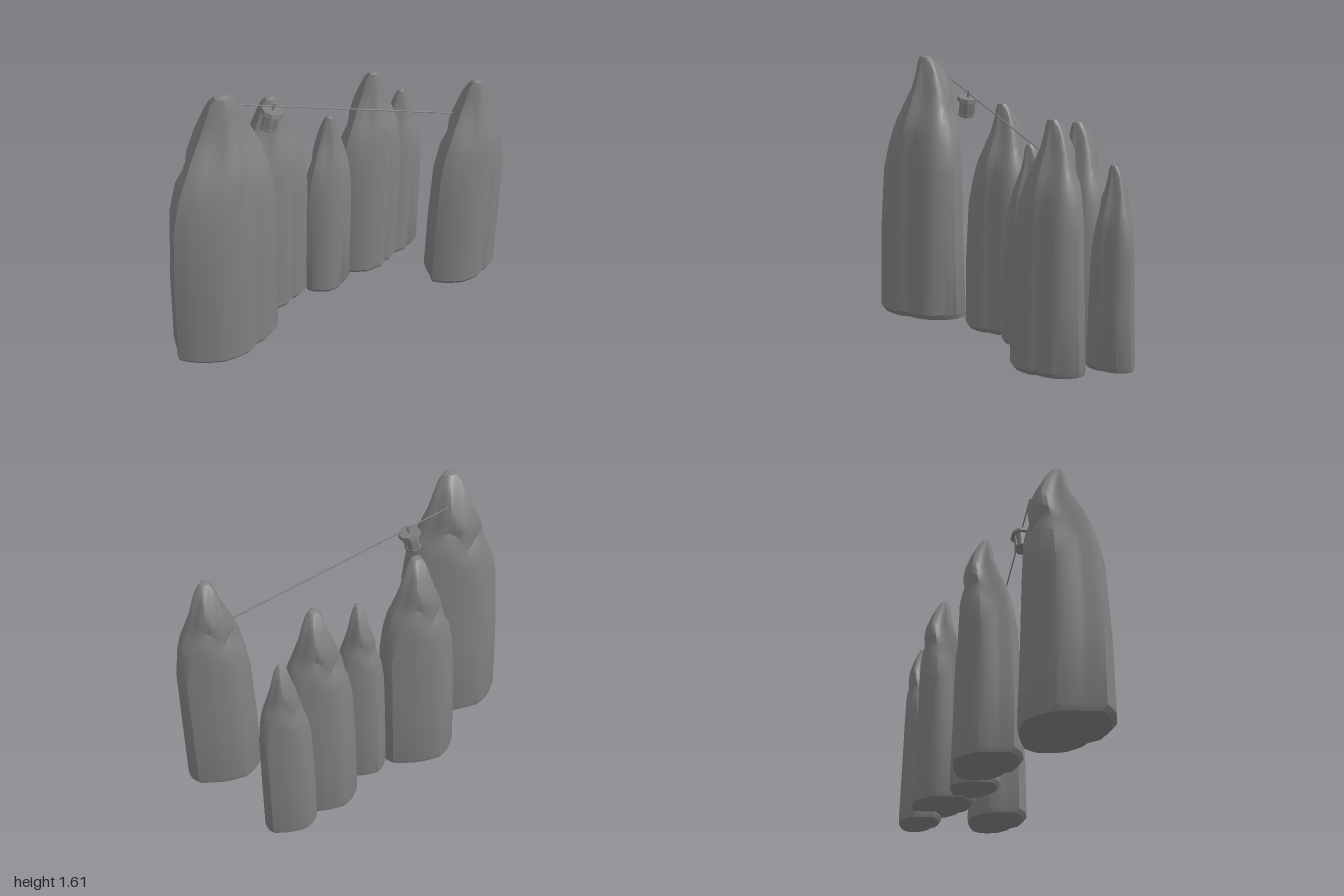
import * as THREE from 'three';
import { toCreasedNormals } from 'three/addons/utils/BufferGeometryUtils.js';

const stone = new THREE.MeshStandardMaterial({ name: 'grey stone', color: 0x808080 });

// Lobed plan outline of a rock pillar, in -1..1
const OUTLINE = [
  [-0.87, -0.45], [-0.62, -0.78], [-0.3, -1], [0.2, -0.95], [0.55, -0.8], [0.86, -0.62],
  [1, -0.3], [0.97, 0.02], [0.87, 0.34], [0.58, 0.62], [0.4, 0.68], [0.22, 0.9], [-0.25, 1],
  [-0.7, 0.82], [-1, 0.54], [-0.95, 0.2], [-0.93, -0.1],
];
// Cross-sections from foot to tip: height, left, right, back, front
const LEVELS = [
  [0, -0.96, 0.91, -0.97, 0.88], [0.02, -1, 0.96, -1, 0.99], [0.3, -0.98, 0.98, -0.92, 0.97],
  [0.56, -0.9, 1, -0.85, 0.89], [0.66, -0.77, 0.94, -0.81, 0.79], [0.7, -0.69, 0.89, -0.8, 0.74],
  [0.74, -0.6, 0.83, -0.78, 0.67], [0.78, -0.5, 0.74, -0.75, 0.56], [0.82, -0.4, 0.65, -0.71, 0.46],
  [0.86, -0.29, 0.56, -0.65, 0.35], [0.92, -0.17, 0.45, -0.47, 0.24], [0.97, -0.1, 0.35, -0.28, 0.17],
  [0.995, 0, 0.24, -0.15, 0.13],
];

function pillarGeometry() {
  const { lerp, smoothstep } = THREE.MathUtils;
  const n = 34;
  const curve = new THREE.CatmullRomCurve3(
    OUTLINE.map(([u, v]) => new THREE.Vector3(u, 0, v)), true, 'catmullrom', 0.25);
  const plan = curve.getPoints(n).slice(0, n);
  const pos = [], idx = [];
  for (const [t, left, right, back, front] of LEVELS) {
    // the shoulders are uneven, the foot and tip are level
    const crag = 0.02 * smoothstep(t, 0.5, 0.75) * (1 - smoothstep(t, 0.9, 1));
    const round = 0.45 * smoothstep(t, 0.6, 0.95);
    for (const p of plan) {
      const a = Math.atan2(p.z, p.x);
      // a slanting groove runs across the back of the shoulder
      const groove = Math.exp(-(((t - 0.765 - 0.05 * p.x) / 0.035) ** 2)) * smoothstep(-p.z, 0, 0.7);
      const s = 1 - 0.16 * groove;
      const u = lerp(p.x, Math.cos(a), round) * s, v = lerp(p.z, Math.sin(a), round) * s;
      pos.push(lerp(left, right, (u + 1) / 2), t + crag * Math.sin(5 * a + 1), lerp(back, front, (v + 1) / 2));
    }
  }
  const rings = LEVELS.length;
  for (let i = 0; i < rings - 1; i++) {
    for (let j = 0; j < n; j++) {
      const a = i * n + j, b = i * n + (j + 1) % n;
      idx.push(a, a + n, b, b, a + n, b + n);
    }
  }
  // foot and tip caps
  const foot = rings * n, tip = foot + 1, last = (rings - 1) * n;
  pos.push(0, 0, 0, 0.12, 1.002, 0.03);
  for (let j = 0; j < n; j++) {
    const k = (j + 1) % n;
    idx.push(foot, j, k, tip, last + k, last + j);
  }
  const g = new THREE.BufferGeometry();
  g.setAttribute('position', new THREE.Float32BufferAttribute(pos, 3));
  g.setIndex(idx);
  return g;
}

function mesh(name, geometry, parent) {
  const m = new THREE.Mesh(geometry, stone);
  m.name = name;
  parent.add(m);
  return m;
}

function createLantern() {
  const lantern = new THREE.Group();
  lantern.name = 'lantern';
  const drum = (name, rTop, rBottom, h, y) => {
    const g = new THREE.CylinderGeometry(rTop, rBottom, h, 8).toNonIndexed();
    g.computeVertexNormals();
    const m = mesh(name, g, lantern);
    m.position.y = y;
    m.rotation.y = Math.PI / 8;
  };
  drum('lanternBody', 0.044, 0.04, 0.085, 0);
  drum('lanternBase', 0.045, 0.045, 0.012, -0.044);
  drum('lanternCap', 0.058, 0.063, 0.022, 0.05);
  drum('lanternHook', 0.007, 0.007, 0.03, 0.074);
  // corner posts
  for (let i = 0; i < 8; i++) {
    const a = (i + 0.5) * Math.PI / 4;
    const post = mesh('lanternPost', new THREE.BoxGeometry(0.006, 0.085, 0.006), lantern);
    post.position.set(Math.cos(a) * 0.041, 0, Math.sin(a) * 0.041);
    post.rotation.y = -a;
  }
  const ring = mesh('lanternRing', new THREE.TorusGeometry(0.008, 0.004, 6, 12), lantern);
  ring.position.y = 0.09;
  lantern.position.set(-0.355, 1.325, 0.073);
  lantern.rotation.z = -0.26;
  return lantern;
}

export function createModel() {
  const model = new THREE.Group();
  model.name = 'rockPillarsWithLantern';

  // Pillars: centre x, centre z, foot y, half width, half depth, height
  const base = pillarGeometry();
  const pillars = [
    [-0.685, 0.205, 0.1, 0.315, 0.237, 1.51],
    [-0.315, -0.113, 0.04, 0.235, 0.178, 1.31],
    [0.033, -0.115, 0.035, 0.15, 0.133, 1.115],
    [0.335, -0.24, 0.03, 0.212, 0.17, 1.26],
    [0.565, -0.333, 0, 0.158, 0.118, 1.08],
    [0.772, 0.14, 0.1, 0.225, 0.17, 1.25],
  ];
  for (const [x, z, y, w, d, h] of pillars) {
    const g = base.clone().scale(w, h, d);
    mesh('rockPillar', toCreasedNormals(g, 0.5), model).position.set(x, y, z);
  }

  // Rope slung between the two outer pillars
  const rope = new THREE.LineCurve3(new THREE.Vector3(-0.57, 1.471, 0.073), new THREE.Vector3(0.7, 1.126, 0.073));
  mesh('rope', new THREE.TubeGeometry(rope, 1, 0.004, 6), model);

  model.add(createLantern());
  return model;
}
